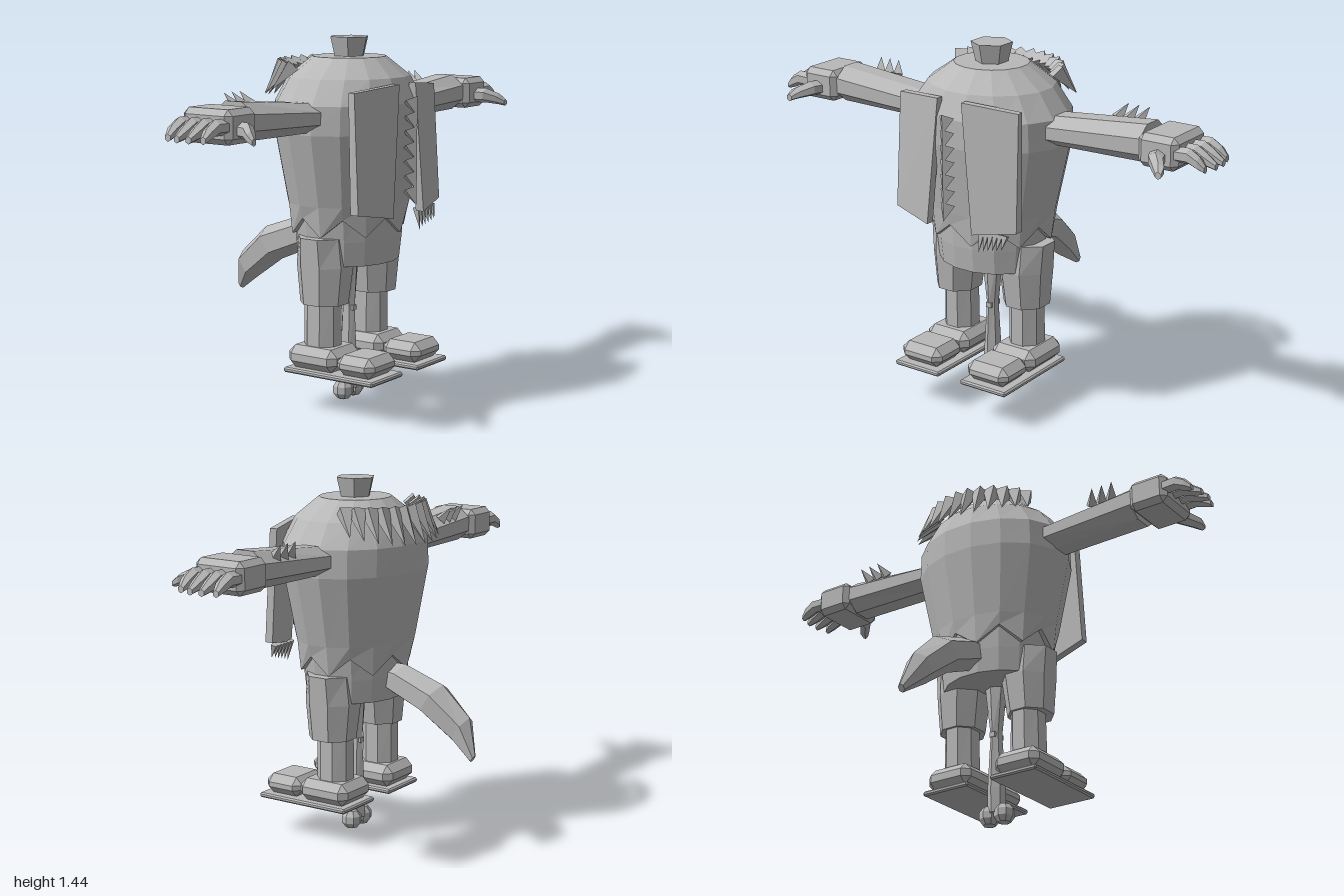
import * as THREE from 'three';
import { ConvexGeometry } from 'three/addons/geometries/ConvexGeometry.js';

const V = (x, y, z) => new THREE.Vector3(x, y, z);
const UP = V(0, 1, 0), X = V(1, 0, 0), Z = V(0, 0, 1);
const CZ = 0.13; // depth of the body's centre line

export function createModel() {
  const model = new THREE.Group();
  const clay = new THREE.MeshStandardMaterial({ color: 0xb8b8b8 });
  clay.name = 'plain grey';

  function add(name, geometry, parent = model) {
    const g = geometry.index ? geometry.toNonIndexed() : geometry;
    g.computeVertexNormals(); // faceted look
    const mesh = new THREE.Mesh(g, clay);
    mesh.name = name;
    parent.add(mesh);
    return mesh;
  }

  function group(name) {
    const g = new THREE.Group();
    g.name = name;
    model.add(g);
    return g;
  }

  // Capped skin over rings [x, y, z, radiusU, radiusV, zigzag] running along w
  function loft(rings, n, w, u) {
    const v = w.clone().cross(u), pos = [], idx = [], k = Math.cos(Math.PI / n);
    rings.forEach(([x, y, z, ru, rv, zig = 0]) => {
      for (let j = 0; j < n; j++) {
        const a = (j + 0.5) / n * Math.PI * 2;
        const p = V(x, y, z).addScaledVector(u, ru / k * Math.cos(a))
          .addScaledVector(v, rv / k * Math.sin(a)).addScaledVector(w, j % 2 ? zig : -zig);
        pos.push(p.x, p.y, p.z);
      }
    });
    const last = rings.length - 1;
    for (let i = 0; i < last; i++) for (let j = 0; j < n; j++) {
      const a = i * n + j, b = i * n + (j + 1) % n;
      idx.push(a, b, b + n, a, b + n, a + n);
    }
    pos.push(...rings[0].slice(0, 3), ...rings[last].slice(0, 3));
    const c0 = (last + 1) * n;
    for (let j = 0; j < n; j++) {
      const k2 = (j + 1) % n;
      idx.push(c0, k2, j, c0 + 1, last * n + j, last * n + k2);
    }
    const g = new THREE.BufferGeometry();
    g.setAttribute('position', new THREE.Float32BufferAttribute(pos, 3));
    g.setIndex(idx);
    return g;
  }

  // Box with every edge cut by c
  function chamferBox(w, h, d, c) {
    const pts = [], a = w / 2, b = h / 2, e = d / 2;
    for (const i of [-1, 1]) for (const j of [-1, 1]) for (const k of [-1, 1])
      pts.push(V(i * a, j * (b - c), k * (e - c)), V(i * (a - c), j * b, k * (e - c)), V(i * (a - c), j * (b - c), k * e));
    return new ConvexGeometry(pts);
  }

  // Pointed cone from base centre to tip
  function spike(name, from, to, r, parent, sides = 4) {
    const d = to.clone().sub(from);
    const mesh = add(name, new THREE.ConeGeometry(r, d.length(), sides), parent);
    mesh.position.copy(from).addScaledVector(d, 0.5);
    mesh.quaternion.setFromUnitVectors(UP, d.normalize());
  }

  // Torso, shirt with jagged hem, and neck
  add('trousersTop', loft([[0, 0.585, CZ, 0.215, 0.185], [0, 0.68, CZ, 0.225, 0.195], [0, 0.82, CZ, 0.24, 0.2]], 16, UP, X));
  add('shirt', loft([
    [0, 0.735, CZ, 0.25, 0.21, 0.035], [0, 0.82, CZ, 0.265, 0.22], [0, 1.1, CZ, 0.325, 0.265],
    [0, 1.21, CZ, 0.32, 0.265], [0, 1.305, CZ, 0.25, 0.225], [0, 1.38, CZ, 0.145, 0.14],
  ], 16, UP, X));
  add('neck', loft([[0, 1.36, CZ, 0.05, 0.05], [0, 1.455, CZ, 0.07, 0.07]], 6, UP, X));

  // Open vest panels, turned to follow the chest
  for (const s of [-1, 1]) {
    add(s > 0 ? 'leftVestPanel' : 'rightVestPanel', new ConvexGeometry([
      V(s * 0.27, 1.265, 0.315), V(s * 0.275, 1.265, 0.345), V(s * 0.055, 1.285, 0.37), V(s * 0.055, 1.285, 0.4),
      V(s * 0.283, 0.81, 0.335), V(s * 0.283, 0.81, 0.37), V(s * 0.105, 0.78, 0.375), V(s * 0.105, 0.78, 0.41),
    ]));
  }

  // Teeth down the chest and the fringe below one panel
  const teeth = group('chestTeeth');
  for (let i = 0; i < 7; i++) {
    const y = 1.225 - i * 0.057;
    spike('chestTooth', V(0, y, 0.415), V(0, y - 0.06, 0.445), 0.034, teeth);
  }
  const fringe = group('vestFringe');
  for (let i = 0; i < 6; i++) {
    const x = 0.125 + i * 0.021;
    spike('fringePoint', V(x, 0.79, 0.365), V(x - 0.006, 0.705 + i * 0.006, 0.385), 0.016, fringe);
  }

  // Spiky collar hanging round the back of the shoulders
  const collar = group('collar');
  for (let i = -6; i <= 6; i++) {
    const a = i * 0.19, sx = Math.sin(a), c = Math.cos(a);
    spike('collarSpike', V(0.245 * sx, 1.352, CZ - 0.25 * c),
      V(0.305 * sx, 1.29 - 0.075 * c, CZ - 0.05 - 0.28 * c), 0.036, collar);
  }

  // Tail
  add('tail', loft([
    [0, 0.68, 0.02, 0.05, 0.05], [0, 0.67, -0.07, 0.06, 0.06], [0, 0.605, -0.24, 0.07, 0.065],
    [0, 0.5, -0.37, 0.05, 0.055], [0.03, 0.4, -0.44, 0.012, 0.015],
  ], 6, V(0, -0.55, -0.835), X));

  // Cord hanging between the legs, with two end beads
  add('hangingCord', loft([
    [0, 0.06, CZ, 0.03, 0.035], [0, 0.16, CZ, 0.03, 0.035], [0, 0.39, CZ, 0.018, 0.025], [0, 0.6, CZ, 0.04, 0.035],
  ], 6, UP, X));
  add('cordKnot', new THREE.BoxGeometry(0.025, 0.02, 0.06)).position.set(0, 0.385, CZ);

  for (const s of [-1, 1]) {
    const side = s > 0 ? 'left' : 'right';
    const out = V(s, 0, 0);
    add('cordBead', new THREE.SphereGeometry(0.044, 8, 5)).position.set(s * 0.035, 0.056, CZ);

    // Sleeve, hand, fingers and thumb
    const arm = group(side + 'Arm');
    add('sleeve', loft([[s * 0.2, 1.165, 0.125, 0.09, 0.055], [s * 0.3, 1.165, 0.125, 0.09, 0.056], [s * 0.71, 1.187, 0.125, 0.09, 0.072]], 8, out, Z), arm);
    add('palm', chamferBox(0.165, 0.125, 0.22, 0.022), arm).position.set(s * 0.79, 1.183, 0.125);
    for (let i = 0; i < 4; i++) {
      const z = 0.045 + i * 0.053, end = i === 0 || i === 3 ? 0.975 : 0.99;
      add('finger', loft([
        [s * 0.85, 1.185, z, 0.023, 0.025], [s * 0.91, 1.187, z, 0.024, 0.026],
        [s * 0.95, 1.167, z, 0.021, 0.022], [s * end, 1.148, z, 0.012, 0.012],
      ], 6, out, Z), arm);
    }
    add('thumb', loft([
      [s * 0.79, 1.17, 0.21, 0.03, 0.026], [s * 0.81, 1.17, 0.27, 0.03, 0.026],
      [s * 0.845, 1.155, 0.31, 0.025, 0.02], [s * 0.86, 1.14, 0.335, 0.012, 0.012],
    ], 6, Z, X), arm);

    // Small spikes on the back of the sleeve
    for (let i = 0; i < 3; i++) {
      const x = 0.52 + i * 0.045;
      spike('sleeveSpike', V(s * x, 1.225, 0.06), V(s * (x + 0.025), 1.278, 0.02), 0.026, arm);
    }

    // Trouser leg, shin, shoe and sole
    const leg = group(side + 'Leg'), x = s * 0.16;
    add('trouserLeg', loft([[x + s * 0.005, 0.432, CZ, 0.085, 0.09], [x, 0.58, CZ, 0.1, 0.105], [x, 0.695, CZ, 0.108, 0.095]], 8, UP, X), leg);
    add('shin', loft([[x, 0.24, 0.12, 0.066, 0.07], [x, 0.45, 0.12, 0.063, 0.07]], 8, UP, X), leg);
    add('shoeHeel', chamferBox(0.205, 0.09, 0.23, 0.03), leg).position.set(x, 0.22, 0.125);
    add('shoeToe', chamferBox(0.195, 0.08, 0.175, 0.03), leg).position.set(x, 0.215, 0.325);
    add('sole', chamferBox(0.215, 0.02, 0.42, 0.006), leg).position.set(x, 0.165, 0.215);
  }
  return model;
}
